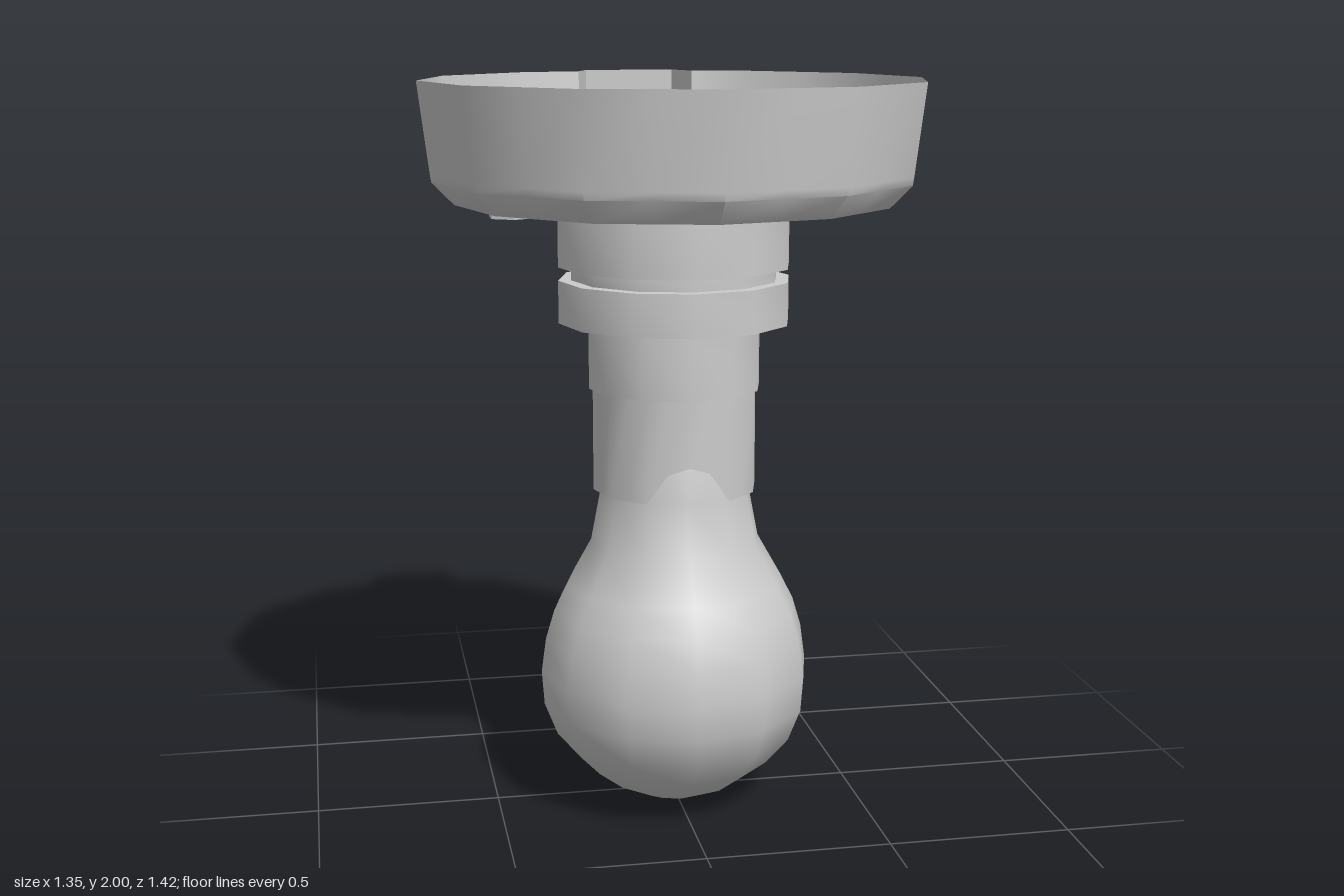
import * as THREE from 'three';
import { toCreasedNormals } from 'three/addons/utils/BufferGeometryUtils.js';

const material = new THREE.MeshStandardMaterial({ color: 0xcccccc, side: THREE.DoubleSide });
const SIDES = 12;
const STEP = Math.PI / SIDES; // half a facet

function part(name, geometry, crease = 0.7) {
  const mesh = new THREE.Mesh(toCreasedNormals(geometry, crease), material);
  mesh.name = name;
  return mesh;
}

function lathe(name, profile, crease) {
  const points = profile.map(([r, y]) => new THREE.Vector2(r, y));
  return part(name, new THREE.LatheGeometry(points, SIDES), crease);
}

// Point on a 12-sided outline, k counted in half facets from the front
function onOutline(k, r, y) {
  const radius = k % 2 ? r * Math.cos(STEP) : r;
  return [radius * Math.sin(k * STEP), y, radius * Math.cos(k * STEP)];
}

// Closed skin through columns of points, each listed from bottom to top
function skin(columns) {
  const rows = columns[0].length, index = [];
  columns.forEach((_, i) => {
    const a = i * rows, b = ((i + 1) % columns.length) * rows;
    for (let j = 0; j < rows - 1; j++) {
      index.push(a + j, b + j, b + j + 1, a + j, b + j + 1, a + j + 1);
    }
  });
  const geometry = new THREE.BufferGeometry();
  geometry.setAttribute('position', new THREE.Float32BufferAttribute(columns.flat(2), 3));
  geometry.setIndex(index);
  return geometry;
}

// Canopy wall, opened at the back into a short cable outlet
function canopyWall() {
  const columns = [];
  for (let k = 0; k < 2 * SIDES; k++) {
    if (k === SIDES) {
      for (const x of [0.13, 0, -0.13]) {
        columns.push([
          [x, 1.68, x ? -0.55 : -0.585],
          [x, 1.74, -0.635],
          [x, 1.76, -0.745],
          [x, 2, -0.745],
        ]);
      }
    } else {
      columns.push([[0.585, 1.68], [0.643, 1.74], [0.646, 1.76], [0.675, 2]]
        .map(([r, y]) => onOutline(k, r, y)));
    }
  }
  return part('canopyWall', skin(columns));
}

// Lower sleeve with a notch at the front and the back
function sleeve() {
  const columns = [];
  for (let k = 0; k < 2 * SIDES; k++) {
    const fromNotch = Math.min(k % SIDES, SIDES - (k % SIDES));
    const bottom = [1, 0.98][fromNotch] ?? 0.9;
    columns.push([onOutline(k, 0.225, bottom), onOutline(k, 0.225, 1.18)]);
  }
  return part('sleeve', skin(columns));
}

// Hexagonal screw: head at the origin, shaft running up +y
function screw(name, headRadius, headHeight, shaftRadius, length) {
  const group = new THREE.Group();
  group.name = name;
  const head = part('screwHead', new THREE.CylinderGeometry(headRadius, headRadius, headHeight, 6), 0.5);
  head.position.y = headHeight / 2;
  const shaft = part('screwShaft', new THREE.CylinderGeometry(shaftRadius, shaftRadius, length, 6), 0.5);
  shaft.position.y = headHeight + length / 2;
  group.add(head, shaft);
  return group;
}

export function createModel() {
  const model = new THREE.Group();
  model.name = 'ceilingLamp';
  const lamp = new THREE.Group();
  lamp.name = 'lamp';
  lamp.position.z = 0.035;
  model.add(lamp);

  lamp.add(canopyWall(), sleeve());

  // Stepped socket, ending in the flat plate of the canopy
  lamp.add(lathe('socketAndPlate', [
    [0.225, 1.18], [0.235, 1.18], [0.235, 1.36], [0.315, 1.36], [0.315, 1.475], [0.28, 1.475],
    [0.28, 1.51], [0.315, 1.51], [0.315, 1.66], [0.335, 1.68], [0.585, 1.68],
  ]));

  // Bulb with a neck that narrows inside the sleeve
  lamp.add(lathe('bulb', [
    [0, 0.005], [0.1, 0.02], [0.19, 0.063], [0.27, 0.125], [0.333, 0.2], [0.368, 0.29],
    [0.375, 0.385], [0.362, 0.48], [0.338, 0.56], [0.3, 0.635], [0.235, 0.75],
    [0.206, 0.9], [0.195, 1.0], [0.165, 1.1], [0.135, 1.14],
  ], 1.2));

  // Mounting screws through the plate
  for (const side of [1, -1]) {
    const mount = screw(side > 0 ? 'leftMountingScrew' : 'rightMountingScrew', 0.065, 0.02, 0.034, 0.12);
    mount.position.set(side * 0.435, 1.645, 0);
    lamp.add(mount);
  }

  // Set screw through the back of the collar
  const setScrew = screw('setScrew', 0.05, 0.04, 0.026, 0.195);
  setScrew.rotation.x = Math.PI / 2;
  setScrew.position.set(0, 1.595, -0.41);
  lamp.add(setScrew);

  return model;
}
